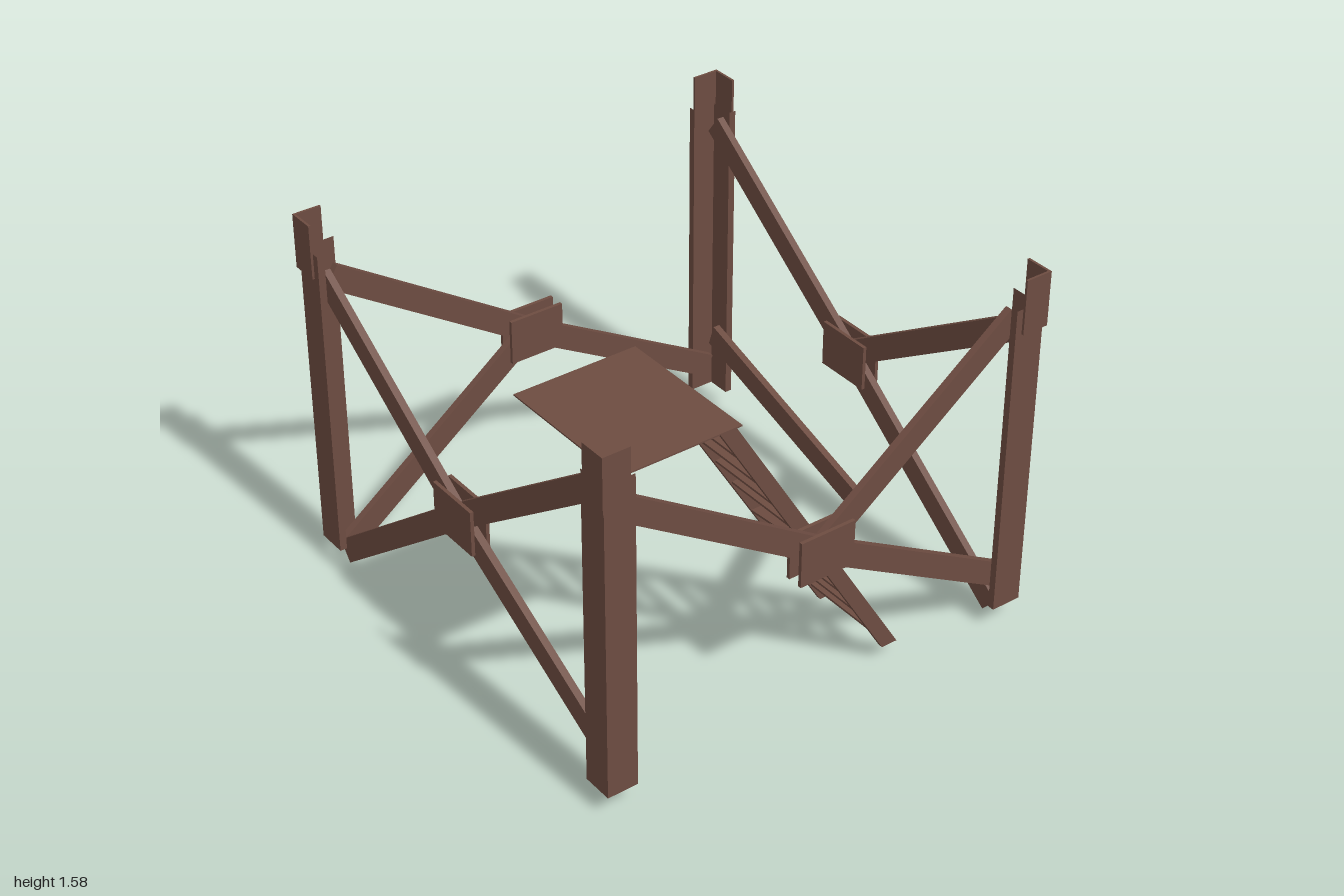
import * as THREE from 'three';

export function createModel() {
  const model = new THREE.Group();
  model.name = 'ruinedTowerBase';
  const wood = new THREE.MeshStandardMaterial({ color: 0x6d4c41 });
  wood.name = 'brown wood';

  const add = (parent, name, geometry, x = 0, y = 0, z = 0) => {
    const mesh = new THREE.Mesh(geometry, wood);
    mesh.name = name;
    mesh.position.set(x, y, z);
    parent.add(mesh);
    return mesh;
  };

  // Upright angle section at the +x +z corner
  const angleSection = (outer, inner, t, height) => {
    const o = outer, i = inner;
    const shape = new THREE.Shape([
      [o, -o], [o, -i], [o - t, -i], [o - t, -o + t], [i, -o + t], [i, -o],
    ].map(([x, y]) => new THREE.Vector2(x, y)));
    const g = new THREE.ExtrudeGeometry(shape, { depth: height, bevelEnabled: false });
    return g.rotateX(-Math.PI / 2);
  };

  // Posts are open at the top: keep only the bottom lid and the walls
  const postGeometry = angleSection(0.985, 0.853, 0.03, 1.36);
  postGeometry.clearGroups();
  postGeometry.addGroup(0, 12, 0);
  postGeometry.addGroup(24, 36, 0);
  const capGeometry = angleSection(0.997, 0.88, 0.01, 0.23);
  for (let k = 0; k < 4; k++) {
    const corner = new THREE.Group();
    corner.name = 'cornerPost';
    corner.rotation.y = k * Math.PI / 2;
    add(corner, 'post', postGeometry, 0, 0.1, 0).material = [wood];
    add(corner, 'postCap', capGeometry, 0, 1.355, 0);
    model.add(corner);
  }

  // Beam between two points in the plane of a side
  const beam = (parent, name, [x1, y1], [x2, y2], z) => {
    const length = Math.hypot(x2 - x1, y2 - y1);
    const mesh = add(parent, name, new THREE.BoxGeometry(length, 0.1, 0.03),
      (x1 + x2) / 2, (y1 + y2) / 2, z);
    mesh.rotation.z = Math.atan2(y2 - y1, x2 - x1);
  };

  // Each side: outer ends of its surviving braces, as seen from outside
  const sides = [
    { name: 'frontSide', turn: 0, hub: [0.012, 0.733],
      ends: [[-0.9, 1.32], [0.9, 1.40], [0.9, 0.23]] },
    { name: 'backSide', turn: Math.PI, hub: [-0.012, 0.733],
      ends: [[0.9, 1.32], [0.9, 0.045], [-0.9, 0.23]] },
    { name: 'leftSide', turn: Math.PI / 2, hub: [0.012, 0.745],
      ends: [[-0.9, 1.32], [-0.9, 0.05], [0.9, 1.40]] },
    { name: 'rightSide', turn: -Math.PI / 2, hub: [-0.005, 0.745],
      ends: [[0.9, 1.40], [0.9, 0.25], [-0.9, 0.05], [-0.9, 1.34]] },
  ];
  for (const { name, turn, hub, ends } of sides) {
    const side = new THREE.Group();
    side.name = name;
    side.rotation.y = turn;
    for (const end of ends) {
      const rising = (end[0] > 0) === (end[1] > 0.7);
      beam(side, 'brace', hub, end, rising ? 0.922 : 0.938);
    }
    // Square plates clamp the crossing from both faces
    for (const z of [0.897, 0.963]) {
      add(side, 'jointPlate', new THREE.BoxGeometry(0.248, 0.196, 0.015), hub[0], hub[1], z);
    }
    // One brace has dropped to the ground
    if (name === 'leftSide') beam(side, 'fallenBrace', [-0.09, 0.062], [0.9, 0.385], 0.925);
    model.add(side);
  }

  // Corner platform
  add(model, 'platform', new THREE.BoxGeometry(0.52, 0.006, 0.62), -0.65, 1.453, 0.655);

  // Ladder with rails cut level at both ends
  const ladder = new THREE.Group();
  ladder.name = 'ladder';
  const railShape = new THREE.Shape([
    [0.38, 0.072], [0.452, 0.072], [-0.39, 1.45], [-0.462, 1.45],
  ].map(([x, y]) => new THREE.Vector2(x, y)));
  const railGeometry = new THREE.ExtrudeGeometry(railShape, { depth: 0.02, bevelEnabled: false });
  for (const z of [0.485, 0.86]) add(ladder, 'ladderRail', railGeometry, 0, 0, z);

  const rungHeights = [0.165, 0.29, 0.41, 0.543, 0.665, 0.82, 0.948, 1.075, 1.22, 1.347];
  rungHeights.forEach((y, i) => {
    const rung = add(ladder, 'ladderRung', new THREE.BoxGeometry(0.056, 0.009, 0.366),
      -0.426 + (1.45 - y) * 0.611, y, 0.6825);
    if (i === 4) rung.rotation.x = -0.08; // one rung hangs crooked
  });
  model.add(ladder);

  return model;
}
